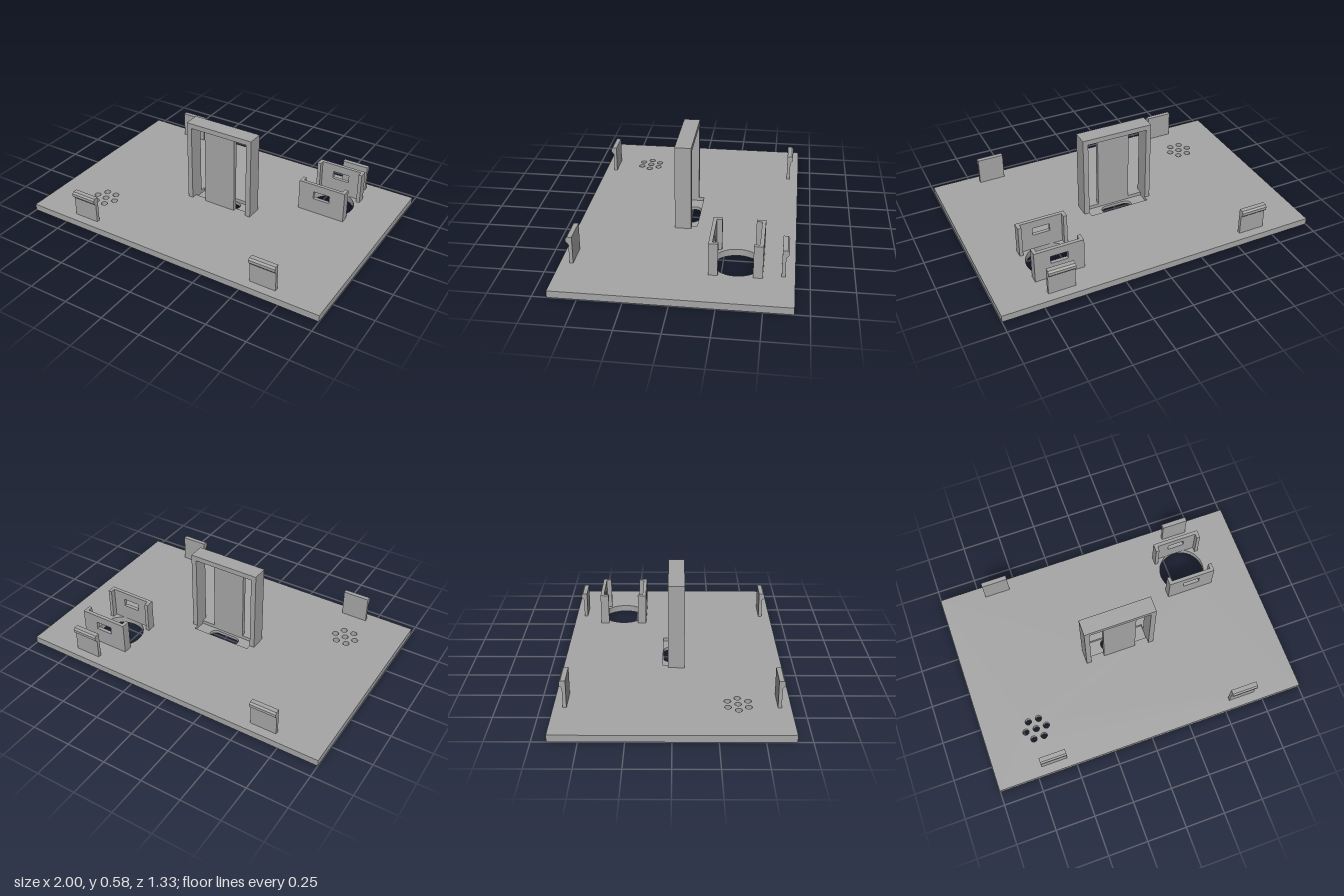
import * as THREE from 'three';

export function createModel() {
  const group = new THREE.Group();
  group.name = 'mountingPanel';
  const grey = new THREE.MeshStandardMaterial({ color: 0xa6a6a6 });
  grey.name = 'plain grey';

  const add = (name, geometry) => {
    const mesh = new THREE.Mesh(geometry, grey);
    mesh.name = name;
    group.add(mesh);
    return mesh;
  };
  // box from opposite corners
  const box = (name, x0, x1, y0, y1, z0, z1) =>
    add(name, new THREE.BoxGeometry(x1 - x0, y1 - y0, z1 - z0)
      .translate((x0 + x1) / 2, (y0 + y1) / 2, (z0 + z1) / 2));
  const polygon = (points, Type = THREE.Shape) =>
    new Type(points.map(([x, y]) => new THREE.Vector2(x, y)));
  const rect = (x0, x1, y0, y1, Type) =>
    polygon([[x0, y0], [x1, y0], [x1, y1], [x0, y1]], Type);
  const extrude = (shape, depth, curveSegments = 16) =>
    new THREE.ExtrudeGeometry(shape, { depth, bevelEnabled: false, curveSegments });
  // floor plan (x, -z) raised upwards from y0 to y1
  const raise = (shape, y0, y1) =>
    extrude(shape, y1 - y0).rotateX(-Math.PI / 2).translate(0, y0, 0);

  const TOP = 0.042, POCKET = 0.02;

  // Base plate in two layers, so the upper one can hold a pocket
  const round = (x, z, r) => {
    const path = new THREE.Path();
    path.absarc(x, -z, r, 0, Math.PI * 2, false);
    return path;
  };
  const basePlan = () => {
    const shape = rect(-1, 1, -0.666, 0.666);
    shape.holes.push(round(0.582, -0.335, 0.146), round(-0.67, 0.37, 0.02));
    for (let i = 0; i < 6; i++) {
      const a = i * Math.PI / 3;
      shape.holes.push(round(-0.67 + 0.067 * Math.cos(a), 0.37 + 0.067 * Math.sin(a), 0.02));
    }
    return shape;
  };
  const lower = basePlan();
  const slot = new THREE.Path();
  slot.absarc(0.06, 0.018, 0.038, -Math.PI / 2, Math.PI / 2, false);
  slot.absarc(-0.066, 0.018, 0.038, Math.PI / 2, Math.PI * 1.5, false);
  lower.holes.push(slot);
  add('basePlateLower', raise(lower, 0, POCKET));
  const upper = basePlan();
  upper.holes.push(rect(-0.198, 0.192, -0.035, 0.06, THREE.Path));
  add('basePlateUpper', raise(upper, POCKET, TOP));

  // Tall gate-shaped holder with a centre panel
  const gate = polygon([
    [-0.23, TOP], [-0.198, TOP], [-0.198, 0.545], [0.192, 0.545],
    [0.192, TOP], [0.225, TOP], [0.225, 0.577], [-0.23, 0.577]]);
  add('holderFrame', extrude(gate, 0.1).translate(0, 0, -0.027));
  box('holderPanel', -0.108, 0.102, POCKET, 0.546, 0.035, 0.062);

  // Pair of facing brackets over the large hole, each with a small window
  for (const side of [-1, 1]) {
    const name = side < 0 ? 'rearBracket' : 'frontBracket';
    const outer = -0.335 + side * 0.152, inner = -0.335 + side * 0.13;
    const tip = -0.335 + side * 0.098;
    const wall = rect(0.429, 0.735, TOP, 0.242);
    wall.holes.push(rect(0.528, 0.636, 0.142, 0.192, THREE.Path));
    add(name + 'Wall', extrude(wall, 0.022).translate(0, 0, Math.min(outer, inner)));
    for (const x of [0.429, 0.713])
      box(name + 'Arm', x, x + 0.022, TOP, 0.242, Math.min(inner, tip), Math.max(inner, tip));
  }

  // Four snap clips with outward hooks along the long edges
  const hook = polygon([
    [0.59, TOP], [0.611, TOP], [0.611, 0.163], [0.627, 0.18],
    [0.627, 0.198], [0.618, 0.21], [0.59, 0.21]]);
  for (const x of [-0.628, 0.622])
    for (const side of [-1, 1]) {
      const clip = add(side > 0 ? 'frontClip' : 'rearClip',
        extrude(hook, 0.166).translate(0, 0, -0.083).rotateY(-Math.PI / 2));
      clip.position.x = x;
      if (side < 0) clip.rotation.y = Math.PI;
    }

  return group;
}
